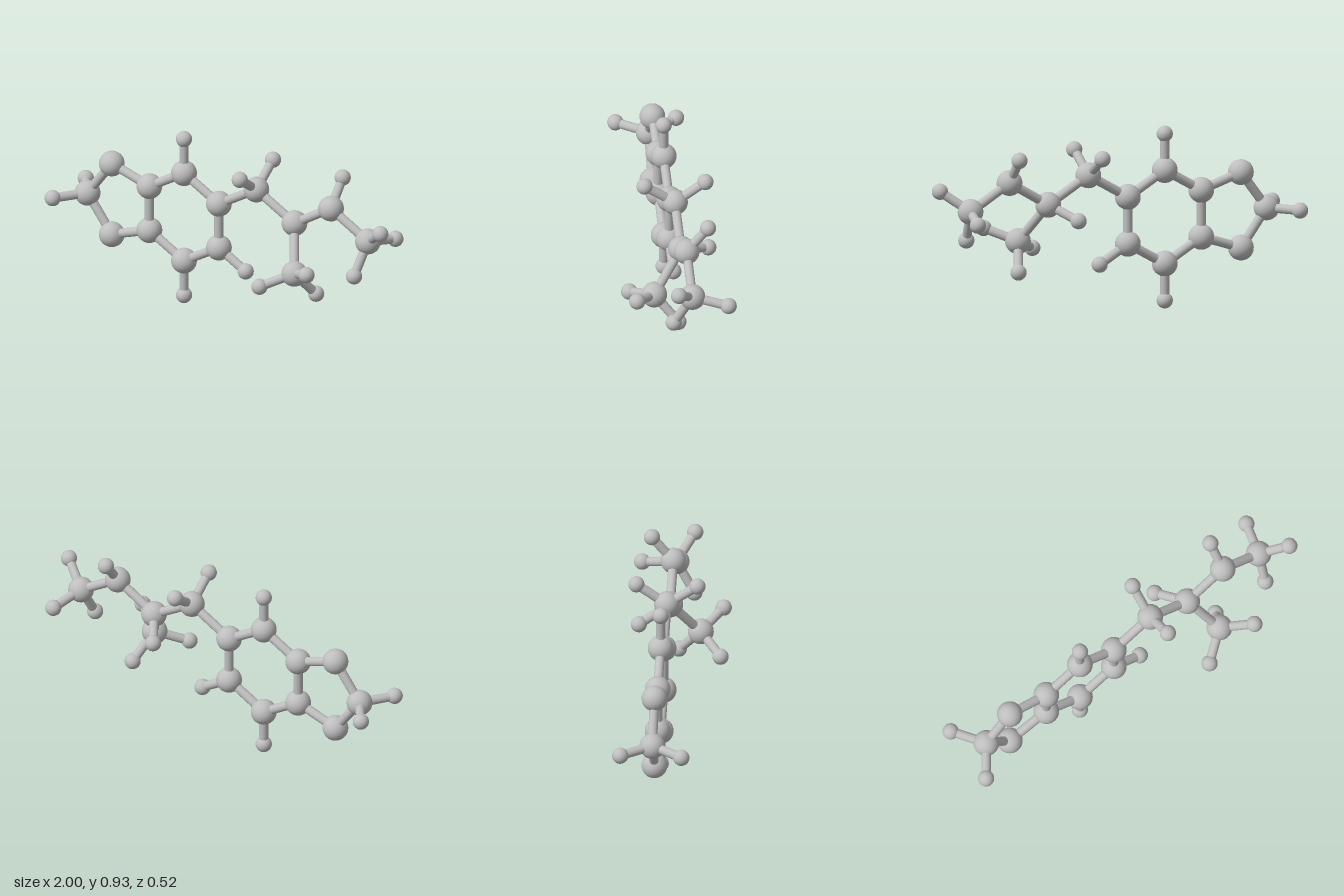
import * as THREE from 'three';

const PLANE = -0.04; // z of the flat backbone
const HEAVY_R = 0.065, LIGHT_R = 0.041, BOND_R = 0.0235;

// Heavy atoms: [x, y, z]
const heavy = {
  bridge: [-0.85, 0.468, PLANE],
  upperOxygen: [-0.705, 0.661, PLANE],
  lowerOxygen: [-0.705, 0.275, PLANE],
  ringUpperLeft: [-0.48, 0.589, PLANE],
  ringLowerLeft: [-0.48, 0.349, PLANE],
  ringTop: [-0.273, 0.708, PLANE],
  ringBottom: [-0.273, 0.23, PLANE],
  ringUpperRight: [-0.064, 0.589, PLANE],
  ringLowerRight: [-0.064, 0.349, PLANE],
  chainLink: [0.16, 0.718, PLANE],
  chainBranch: [0.388, 0.587, PLANE],
  nitrogen: [0.607, 0.717, PLANE],
  endMethyl: [0.828, 0.588, PLANE],
  sideMethyl: [0.482, 0.385, 0.108],
};

// Light atoms, listed under the heavy atom that carries them
const light = {
  bridge: [[-0.96, 0.468, 0.114], [-0.96, 0.468, -0.194]],
  ringTop: [[-0.273, 0.894, PLANE]],
  ringBottom: [[-0.273, 0.042, PLANE]],
  ringLowerRight: [[0.096, 0.256, PLANE]],
  chainLink: [[0.16, 0.826, 0.114], [0.16, 0.826, -0.194]],
  chainBranch: [[0.294, 0.52, -0.191]],
  nitrogen: [[0.607, 0.848, -0.148]],
  endMethyl: [[0.957, 0.688, 0.045], [0.878, 0.551, -0.217], [0.804, 0.425, 0.052]],
  sideMethyl: [[0.344, 0.321, 0.217], [0.623, 0.447, 0.213], [0.539, 0.248, -0.007]],
};

// Chains of bonded heavy atoms
const chains = [
  ['bridge', 'upperOxygen', 'ringUpperLeft', 'ringTop', 'ringUpperRight', 'ringLowerRight',
    'ringBottom', 'ringLowerLeft', 'lowerOxygen', 'bridge'],
  ['ringUpperLeft', 'ringLowerLeft'],
  ['ringUpperRight', 'chainLink', 'chainBranch', 'nitrogen', 'endMethyl'],
  ['chainBranch', 'sideMethyl'],
];

export function createModel() {
  const model = new THREE.Group();
  model.name = 'molecule';
  const grey = new THREE.MeshStandardMaterial({ color: 0xbebebe });
  grey.name = 'light grey';

  const heavyBall = new THREE.SphereGeometry(HEAVY_R, 32, 20);
  const lightBall = new THREE.SphereGeometry(LIGHT_R, 32, 20);
  const rod = new THREE.CylinderGeometry(BOND_R, BOND_R, 1, 24);
  const up = new THREE.Vector3(0, 1, 0);

  const addBall = (geometry, p, name) => {
    const ball = new THREE.Mesh(geometry, grey);
    ball.position.set(...p);
    ball.name = name;
    model.add(ball);
  };

  // Rod from centre to centre
  const addBond = (p, q, name) => {
    const a = new THREE.Vector3(...p), b = new THREE.Vector3(...q);
    const bond = new THREE.Mesh(rod, grey);
    bond.position.lerpVectors(a, b, 0.5);
    bond.scale.y = a.distanceTo(b);
    bond.quaternion.setFromUnitVectors(up, b.sub(a).normalize());
    bond.name = name;
    model.add(bond);
  };

  for (const [name, p] of Object.entries(heavy)) addBall(heavyBall, p, name + 'Atom');

  for (const [name, list] of Object.entries(light)) {
    list.forEach((p, i) => {
      addBall(lightBall, p, `${name}Hydrogen${i + 1}`);
      addBond(heavy[name], p, `${name}HydrogenBond${i + 1}`);
    });
  }

  for (const chain of chains) {
    for (let i = 1; i < chain.length; i++) {
      addBond(heavy[chain[i - 1]], heavy[chain[i]], `${chain[i - 1]}To${chain[i]}Bond`);
    }
  }
  return model;
}
